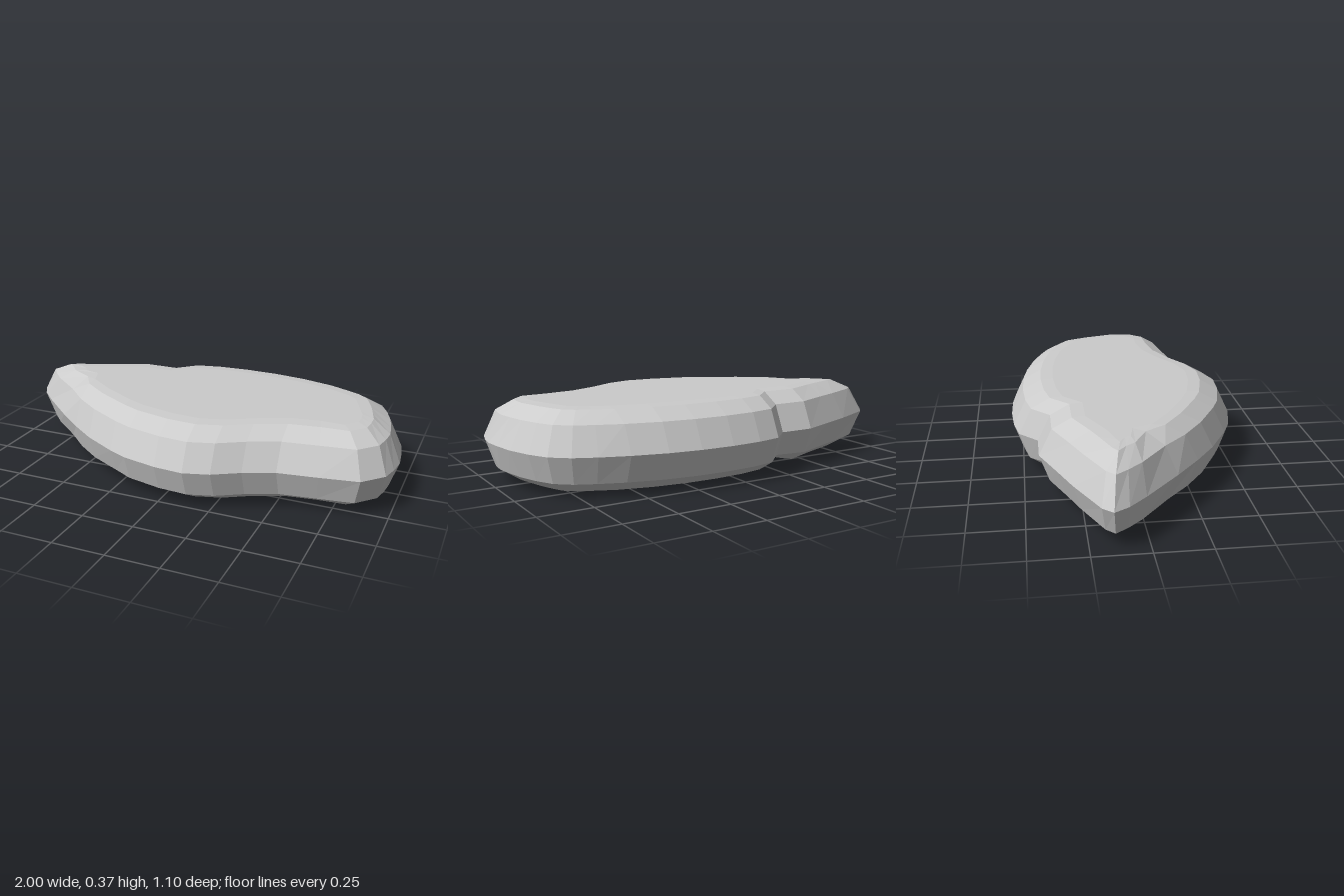
import * as THREE from 'three';

// Widest outline seen from above, as [x, z], starting at the pointed end
const OUTLINE = [
  [-1, -0.155], [-0.96, -0.2], [-0.75, -0.3], [-0.6, -0.36], [-0.43, -0.43], [-0.26, -0.43],
  [-0.17, -0.515], [-0.05, -0.54], [0.1, -0.55], [0.26, -0.545], [0.41, -0.525], [0.57, -0.485],
  [0.7, -0.44], [0.8, -0.395], [0.88, -0.33], [0.93, -0.24], [0.97, -0.13], [0.99, -0.02],
  [1, 0.07], [0.99, 0.15], [0.97, 0.23], [0.88, 0.325], [0.7, 0.355], [0.52, 0.38],
  [0.38, 0.44], [0.26, 0.51], [0.14, 0.545], [0, 0.535], [-0.17, 0.495], [-0.26, 0.455],
  [-0.43, 0.36], [-0.56, 0.265], [-0.7, 0.15], [-0.88, -0.01], [-0.96, -0.09],
];

// Rings from the underside to the top: height, inset towards the spine, share of the groove
const RINGS = [
  [0, 9, 1], [0, 0.2, 1], [0.01, 0.14, 1], [0.065, 0.045, 0.15], [0.19, 0, 0],
  [0.315, 0.06, 0], [0.365, 0.15, 0], [0.37, 0.21, 0], [0.37, 9, 0],
];

const SPINE_Z = -0.07;

// Shallow groove across the underside, deepest at the notch in the outline
function groove(x) {
  if (x <= -0.43 || x >= -0.17) return 0;
  return 0.04 * (x < -0.26 ? (x + 0.43) / 0.17 : (-0.17 - x) / 0.09);
}

function ringPoint([x, z], [y, inset, share]) {
  const foot = new THREE.Vector2(THREE.MathUtils.clamp(x, -0.57, 0.6), SPINE_Z);
  const p = new THREE.Vector2(x, z);
  const amount = inset * (x < -0.9 ? 1.3 : 1);
  p.lerp(foot, Math.min(1, amount / p.distanceTo(foot)));
  return new THREE.Vector3(p.x, y + share * groove(p.x), p.y);
}

function pebbleGeometry() {
  const rings = RINGS.map((ring) => OUTLINE.map((p) => ringPoint(p, ring)));
  const positions = [];
  const addFace = (a, b, c) => {
    if (new THREE.Triangle(a, b, c).getArea() < 1e-7) return;
    for (const v of [a, b, c]) positions.push(v.x, v.y, v.z);
  };
  for (let k = 0; k < rings.length - 1; k++) {
    for (let i = 0; i < OUTLINE.length; i++) {
      const j = (i + 1) % OUTLINE.length;
      const a = rings[k][i], b = rings[k][j], c = rings[k + 1][i], d = rings[k + 1][j];
      addFace(a, c, b);
      addFace(b, c, d);
    }
  }
  const geometry = new THREE.BufferGeometry();
  geometry.setAttribute('position', new THREE.Float32BufferAttribute(positions, 3));
  geometry.computeVertexNormals();
  return geometry;
}

export function createModel() {
  const group = new THREE.Group();
  group.name = 'flatStone';
  const material = new THREE.MeshStandardMaterial({ color: 0xcccccc, flatShading: true });
  const stone = new THREE.Mesh(pebbleGeometry(), material);
  stone.name = 'stone';
  group.add(stone);
  return group;
}
